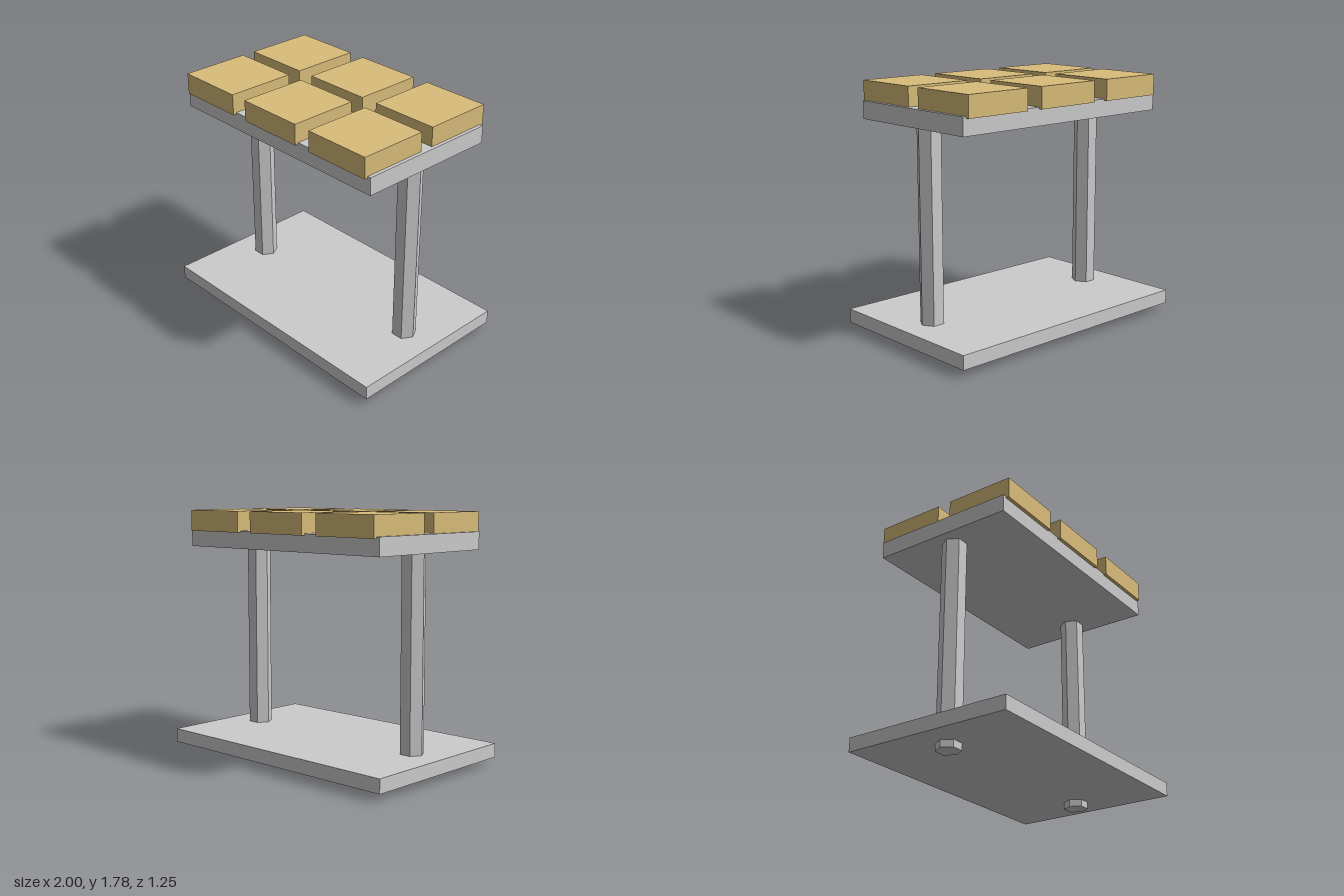
import * as THREE from 'three';

export function createModel() {
  const group = new THREE.Group();
  const grey = new THREE.MeshStandardMaterial({ color: 0xcccccc, flatShading: true });
  const tan = new THREE.MeshStandardMaterial({ color: 0xd9bc7a, flatShading: true });

  const add = (name, geometry, material, x, y, z) => {
    const mesh = new THREE.Mesh(geometry, material);
    mesh.name = name;
    mesh.position.set(x, y, z);
    group.add(mesh);
  };

  // Bottom and top boards
  add('baseBoard', new THREE.BoxGeometry(2, 0.1, 1.25), grey, 0, 0.1, 0);
  add('topBoard', new THREE.BoxGeometry(1.8, 0.125, 1.05), grey, 0, 1.5775, 0);

  // Hexagonal posts with corners pointing sideways, passing through the base
  const postHeight = 1.54;
  const post = new THREE.CylinderGeometry(0.0866, 0.0866, postHeight, 6, 1, false, Math.PI / 6);
  for (const [name, x] of [['rightPost', -0.75], ['leftPost', 0.75]]) {
    add(name, post, grey, x, postHeight / 2, 0);
  }

  // Two rows of three square blocks, slightly sunk into the top board
  const block = new THREE.BoxGeometry(0.5, 0.15, 0.5);
  for (const [row, z] of [['front', 0.3], ['back', -0.3]]) {
    for (const [column, x] of [['Right', -0.625], ['Middle', 0], ['Left', 0.625]]) {
      add(`${row}${column}Block`, block, tan, x, 1.7025, z);
    }
  }

  return group;
}
